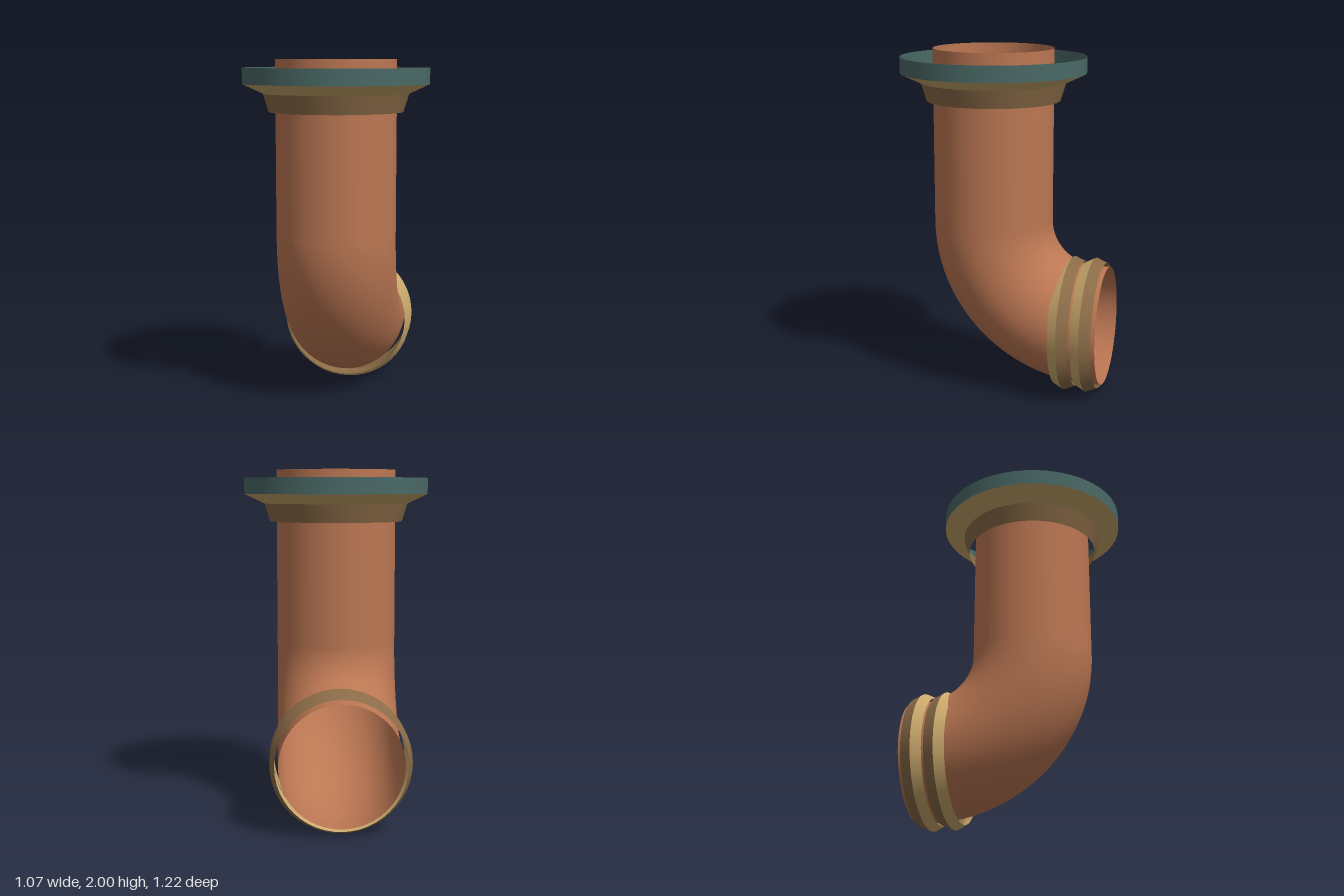
import * as THREE from 'three';

const SIDES = 48;
const PIPE_R = 0.347;   // pipe radius
const BEND_R = 0.6;     // centreline radius of the elbow
const AXIS_Z = 0.075;   // axis of the upright pipe
const AXIS_Y = 0.395;   // axis of the outlet

function material(name, color) {
  const m = new THREE.MeshStandardMaterial({ color, side: THREE.DoubleSide });
  m.name = name;
  return m;
}

// Open conical band along local y, from radius r0 at y0 to r1 at y1
function band(name, mat, r0, y0, r1, y1) {
  const geo = new THREE.CylinderGeometry(r1, r0, y1 - y0, SIDES, 1, true);
  geo.translate(0, (y0 + y1) / 2, 0);
  const mesh = new THREE.Mesh(geo, mat);
  mesh.name = name;
  return mesh;
}

export function createModel() {
  const copper = material('copper', 0xbc7753);
  const brass = material('brass', 0xc9a86c);
  const bronze = material('bronze', 0x8a6b47);
  const teal = material('teal', 0x4a6966);

  const model = new THREE.Group();
  model.name = 'pipeElbow';
  const bendY = AXIS_Y + BEND_R;
  const bendZ = AXIS_Z - BEND_R;

  // Upright pipe and the loose collar around its mouth
  const upright = new THREE.Group();
  upright.name = 'upright';
  upright.position.z = AXIS_Z;
  upright.add(
    band('uprightPipe', copper, PIPE_R, bendY, PIPE_R, 2),
    band('collarSleeve', bronze, 0.386, 1.703, 0.418, 1.806),
    band('collarFlare', brass, 0.418, 1.806, 0.535, 1.861),
    band('collarRim', teal, 0.535, 1.861, 0.535, 1.953),
  );

  // Quarter bend from the upright down to the back
  const bendGeo = new THREE.TorusGeometry(BEND_R, PIPE_R, SIDES, 32, Math.PI / 2);
  bendGeo.rotateX(Math.PI).rotateY(-Math.PI / 2);
  const bend = new THREE.Mesh(bendGeo, copper);
  bend.name = 'bend';
  bend.position.set(0, bendY, bendZ);

  // Outlet at the back; local +y points to -z
  const outlet = new THREE.Group();
  outlet.name = 'outlet';
  outlet.position.y = AXIS_Y;
  outlet.rotation.x = -Math.PI / 2;
  outlet.add(band('outletPipe', copper, PIPE_R, -bendZ, PIPE_R, 0.61));

  // Two ridged rings around the outlet, darker on the back slope
  for (const start of [0.342, 0.472]) {
    outlet.add(
      band('ringFront', brass, 0.368, start, 0.395, start + 0.055),
      band('ringBack', bronze, 0.395, start + 0.055, 0.368, start + 0.118),
    );
  }

  model.add(upright, bend, outlet);
  return model;
}
